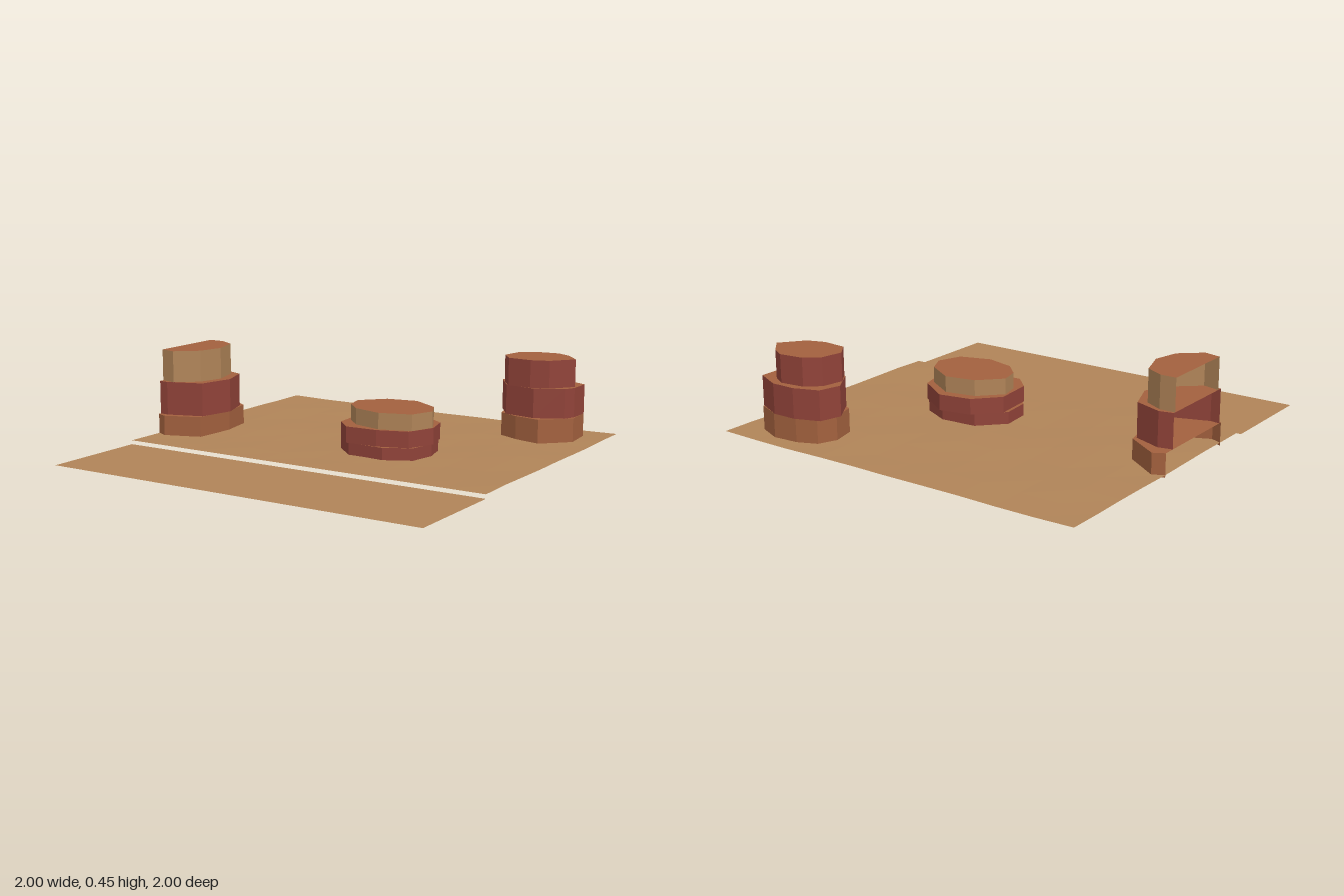
import * as THREE from 'three';

const flat = (name, color) => {
  const m = new THREE.MeshStandardMaterial({ color, side: THREE.DoubleSide, flatShading: true });
  m.name = name;
  return m;
};

export function createModel() {
  const sand = flat('sand', 0xb08458);
  const clay = flat('clay', 0xa3613e);
  const red = flat('redRock', 0x914339);
  const root = new THREE.Group();
  root.name = 'desertTile';

  const add = (parent, name, geo, mat) => {
    const mesh = new THREE.Mesh(geo, mat);
    mesh.name = name;
    parent.add(mesh);
    return mesh;
  };

  // Upright walls along a footprint of [x, z] points
  const walls = (pts, y0, y1, closed) => {
    const pos = [];
    const n = closed ? pts.length : pts.length - 1;
    for (let i = 0; i < n; i++) {
      const [ax, az] = pts[i];
      const [bx, bz] = pts[(i + 1) % pts.length];
      pos.push(bx, y0, bz, ax, y0, az, ax, y1, az);
      pos.push(bx, y0, bz, ax, y1, az, bx, y1, bz);
    }
    const g = new THREE.BufferGeometry();
    g.setAttribute('position', new THREE.Float32BufferAttribute(pos, 3));
    g.computeVertexNormals();
    return g;
  };

  // Flat top over the footprint
  const cap = (pts, y) => {
    const shape = new THREE.Shape(pts.map(([x, z]) => new THREE.Vector2(x, -z)));
    return new THREE.ShapeGeometry(shape).rotateX(-Math.PI / 2).translate(0, y, 0);
  };

  // Stack of hollow rock layers, each with its own footprint
  const mesa = (name, closed, layers) => {
    const group = new THREE.Group();
    group.name = name;
    let y = 0.005;
    layers.forEach(({ top, mat, pts }, i) => {
      add(group, `layerWall${i + 1}`, walls(pts, y, top, closed), mat);
      add(group, `layerTop${i + 1}`, cap(pts, top), clay);
      y = top;
    });
    root.add(group);
  };

  // Slightly uneven ground
  const ground = new THREE.PlaneGeometry(2, 1.455, 10, 8).rotateX(-Math.PI / 2).translate(0, 0.02, -0.2725);
  const p = ground.attributes.position;
  for (let i = 0; i < p.count; i++) {
    const x = p.getX(i), z = p.getZ(i);
    if (z < 0.4) p.setY(i, 0.02 + 0.003 * Math.sin(x * 7 + z * 3) * Math.cos(z * 8 - x * 2));
  }
  ground.computeVertexNormals();
  add(root, 'ground', ground, sand);

  // Lower strip at the front
  add(root, 'frontStrip', new THREE.PlaneGeometry(2, 0.545).rotateX(-Math.PI / 2).translate(0, 0, 0.7275), sand);

  mesa('middleMesa', true, [
    { top: 0.08, mat: red, pts: [[-0.035, -0.12], [0.08, -0.24], [0.27, -0.25], [0.41, -0.18], [0.445, -0.05],
      [0.42, 0.08], [0.29, 0.15], [0.095, 0.14], [-0.02, 0.03]] },
    { top: 0.16, mat: red, pts: [[-0.02, -0.14], [0.09, -0.26], [0.255, -0.29], [0.42, -0.18], [0.455, -0.05],
      [0.4, 0.09], [0.25, 0.14], [0.085, 0.145], [0, 0.06]] },
    { top: 0.24, mat: sand, pts: [[-0.005, -0.1], [0.1, -0.21], [0.255, -0.24], [0.4, -0.15], [0.45, -0.05],
      [0.405, 0.07], [0.25, 0.12], [0.1, 0.08], [0.02, 0]] },
  ]);

  mesa('backMesa', true, [
    { top: 0.14, mat: clay, pts: [[0.48, -0.78], [0.52, -0.87], [0.62, -0.91], [0.75, -0.92], [0.87, -0.87],
      [0.885, -0.71], [0.75, -0.585], [0.615, -0.61], [0.51, -0.66]] },
    { top: 0.29, mat: red, pts: [[0.46, -0.77], [0.49, -0.88], [0.615, -0.925], [0.74, -0.925], [0.875, -0.86],
      [0.875, -0.74], [0.85, -0.68], [0.71, -0.61], [0.545, -0.64]] },
    { top: 0.43, mat: red, pts: [[0.5, -0.71], [0.52, -0.82], [0.59, -0.88], [0.715, -0.895], [0.785, -0.855],
      [0.865, -0.765], [0.775, -0.65], [0.685, -0.62], [0.56, -0.63]] },
  ]);

  // Cut off at the tile edge and left open there
  mesa('edgeMesa', false, [
    { top: 0.12, mat: clay, pts: [[-1, -0.27], [-0.945, -0.3], [-0.78, -0.19], [-0.745, -0.02], [-0.765, 0.195],
      [-0.945, 0.265], [-1, 0.24]] },
    { top: 0.29, mat: red, pts: [[-1, -0.21], [-0.93, -0.225], [-0.79, -0.17], [-0.73, -0.01], [-0.77, 0.17],
      [-0.95, 0.23], [-1, 0.225]] },
    { top: 0.45, mat: sand, pts: [[-1, -0.2], [-0.92, -0.2], [-0.83, -0.15], [-0.78, 0], [-0.81, 0.13],
      [-0.915, 0.22], [-1, 0.2]] },
  ]);

  return root;
}
